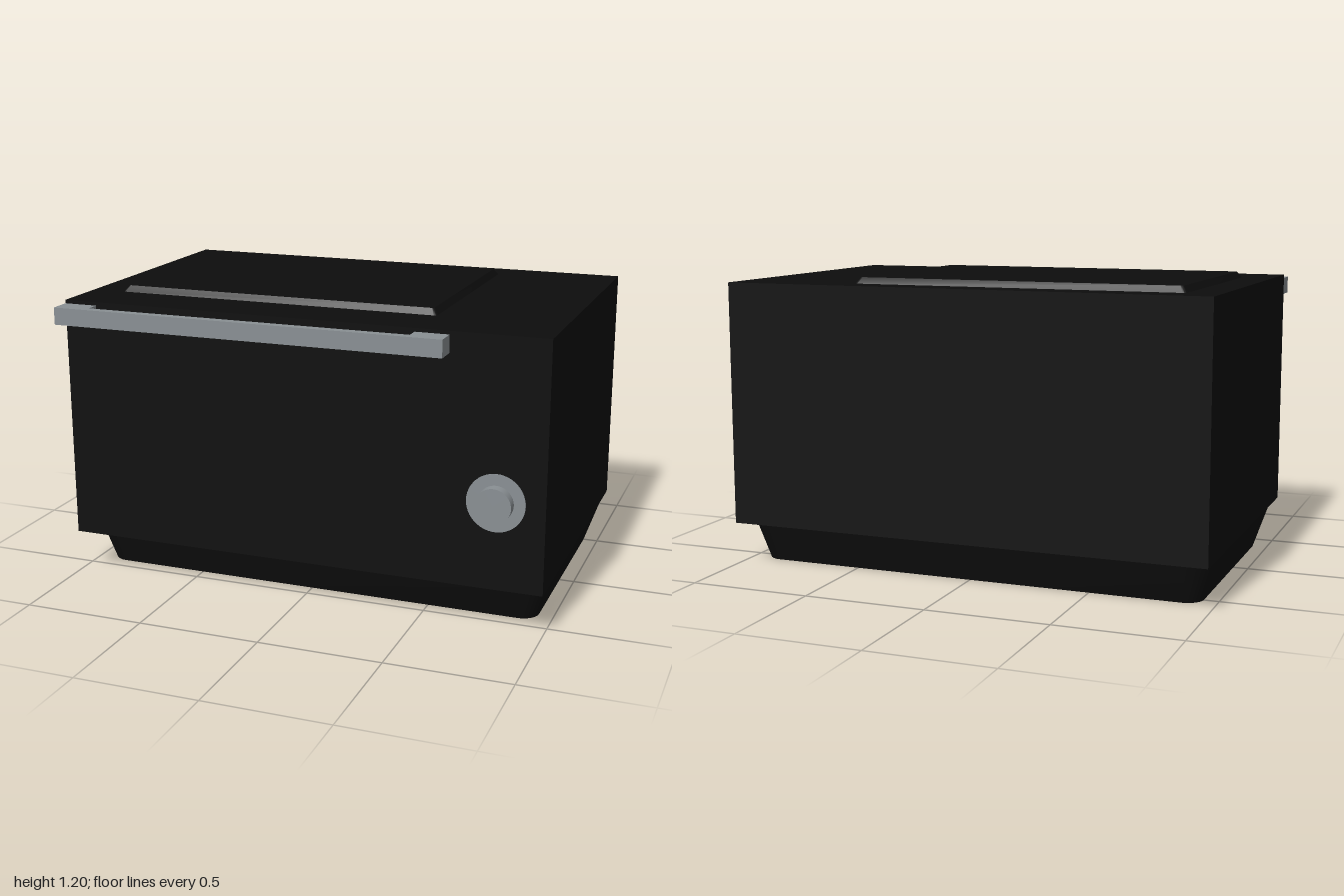
import * as THREE from 'three';
import { toCreasedNormals } from 'three/addons/utils/BufferGeometryUtils.js';

const black = new THREE.MeshStandardMaterial({ color: 0x0d0d0d });
black.name = 'black casing';
const grey = new THREE.MeshStandardMaterial({ color: 0x8a9094 });
grey.name = 'grey metal';

// Rounded rectangle ring at height y, counter-clockwise from above
function ring({ x0, x1, z0, z1, y, r }, steps = 6) {
  const corners = [[x1 - r, z0 + r], [x0 + r, z0 + r], [x0 + r, z1 - r], [x1 - r, z1 - r]];
  const points = [];
  corners.forEach(([cx, cz], c) => {
    for (let i = 0; i <= steps; i++) {
      const a = (c + i / steps) * Math.PI / 2;
      points.push([cx + r * Math.cos(a), y, cz - r * Math.sin(a)]);
    }
  });
  return points;
}

// Capped solid between a lower and an upper ring
function loft(lower, upper) {
  const low = ring(lower), up = ring(upper), n = low.length;
  const mid = (s) => [(s.x0 + s.x1) / 2, s.y, (s.z0 + s.z1) / 2];
  const pos = [];
  for (let i = 0; i < n; i++) {
    const j = (i + 1) % n;
    pos.push(...low[i], ...low[j], ...up[j], ...low[i], ...up[j], ...up[i]);
    pos.push(...mid(upper), ...up[i], ...up[j], ...mid(lower), ...low[j], ...low[i]);
  }
  const geometry = new THREE.BufferGeometry();
  geometry.setAttribute('position', new THREE.Float32BufferAttribute(pos, 3));
  return toCreasedNormals(geometry, 0.5);
}

export function createModel() {
  const model = new THREE.Group();
  model.name = 'countertopBox';
  const add = (name, geometry, material, x = 0, y = 0, z = 0) => {
    const mesh = new THREE.Mesh(geometry, material);
    mesh.name = name;
    mesh.position.set(x, y, z);
    model.add(mesh);
    return mesh;
  };

  // Main casing
  add('body', new THREE.BoxGeometry(2, 0.995, 1.29), black, 0, 0.6725, -0.045);

  // Tapered foot
  add('base', loft(
    { x0: -0.94, x1: 0.94, z0: -0.565, z1: 0.44, y: 0, r: 0.07 },
    { x0: -1, x1: 1, z0: -0.61, z1: 0.485, y: 0.175, r: 0.1 }), black);

  // Raised panel on the top
  add('topPanel', loft(
    { x0: -0.868, x1: 0.495, z0: -0.565, z1: 0.367, y: 1.17, r: 0.015 },
    { x0: -0.85, x1: 0.477, z0: -0.547, z1: 0.349, y: 1.195, r: 0.012 }), black);

  // U-shaped door handle, drawn from above and extruded in height
  const outline = [[-1, 0.6], [-0.86, 0.6], [-0.86, 0.655], [0.48, 0.655],
    [0.48, 0.6], [0.615, 0.6], [0.615, 0.69], [-1, 0.69]];
  const shape = new THREE.Shape(outline.map(([x, z]) => new THREE.Vector2(x, -z)));
  const handle = new THREE.ExtrudeGeometry(shape, { depth: 0.07, bevelEnabled: false });
  add('handle', handle.rotateX(-Math.PI / 2), grey, 0, 1.086, 0);

  // Dial: thin backplate and protruding knob
  const disc = (radius, depth) =>
    new THREE.CylinderGeometry(radius, radius, depth, 48).rotateX(Math.PI / 2);
  add('dialPlate', disc(0.115, 0.004), grey, 0.808, 0.525, 0.602);
  add('dialKnob', disc(0.07, 0.046), grey, 0.808, 0.525, 0.623);

  return model;
}
